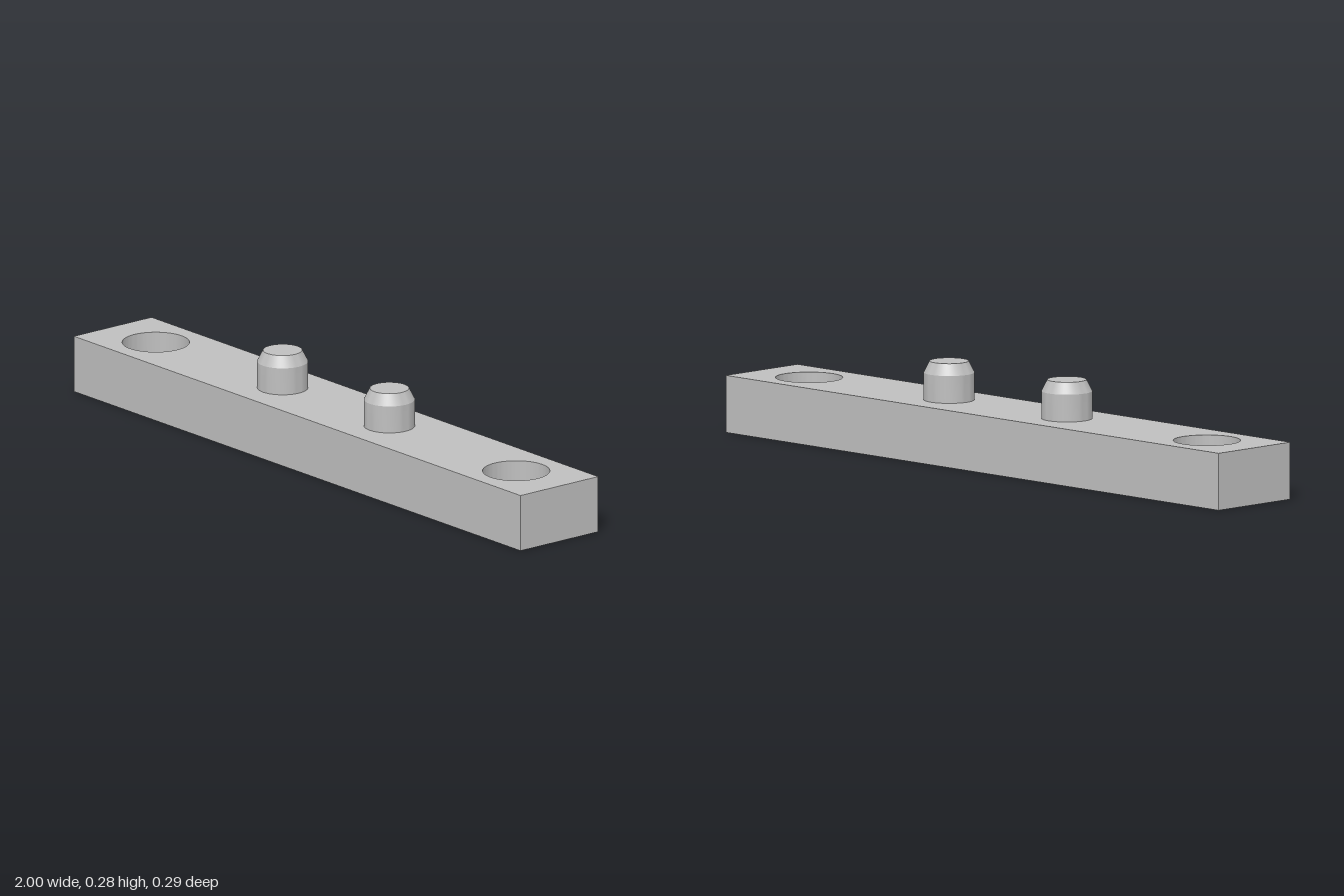
import * as THREE from 'three';
import { toCreasedNormals } from 'three/addons/utils/BufferGeometryUtils.js';

const BAR_HEIGHT = 0.165;
const BAR_DEPTH = 0.288;
const HOLE_X = 0.807;
const PEG_X = 0.239;

export function createModel() {
  const group = new THREE.Group();
  const steel = new THREE.MeshStandardMaterial({ color: 0xbfbfbf });
  steel.name = 'grey steel';

  // Bar outline seen from above, with a round through hole near each end
  const outline = new THREE.Shape();
  outline.moveTo(-1, -BAR_DEPTH / 2);
  outline.lineTo(1, -BAR_DEPTH / 2);
  outline.lineTo(1, BAR_DEPTH / 2);
  outline.lineTo(-1, BAR_DEPTH / 2);
  outline.closePath();
  for (const side of [-1, 1]) {
    outline.holes.push(new THREE.Path().absarc(side * HOLE_X, 0, 0.096, 0, Math.PI * 2, true));
  }
  const barGeometry = new THREE.ExtrudeGeometry(outline, {
    depth: BAR_HEIGHT, bevelEnabled: false, curveSegments: 48,
  });
  barGeometry.rotateX(-Math.PI / 2);
  const bar = new THREE.Mesh(toCreasedNormals(barGeometry, 0.4), steel);
  bar.name = 'bar';
  group.add(bar);

  // Locating pegs with a chamfered tip
  const profile = [[0.073, 0], [0.073, 0.079], [0.056, 0.112], [0, 0.112]]
    .map(([r, y]) => new THREE.Vector2(r, y));
  const pegGeometry = toCreasedNormals(new THREE.LatheGeometry(profile, 48), 0.4);
  for (const side of [-1, 1]) {
    const peg = new THREE.Mesh(pegGeometry, steel);
    peg.name = side > 0 ? 'leftPeg' : 'rightPeg';
    peg.position.set(side * PEG_X, BAR_HEIGHT, 0);
    group.add(peg);
  }

  return group;
}
